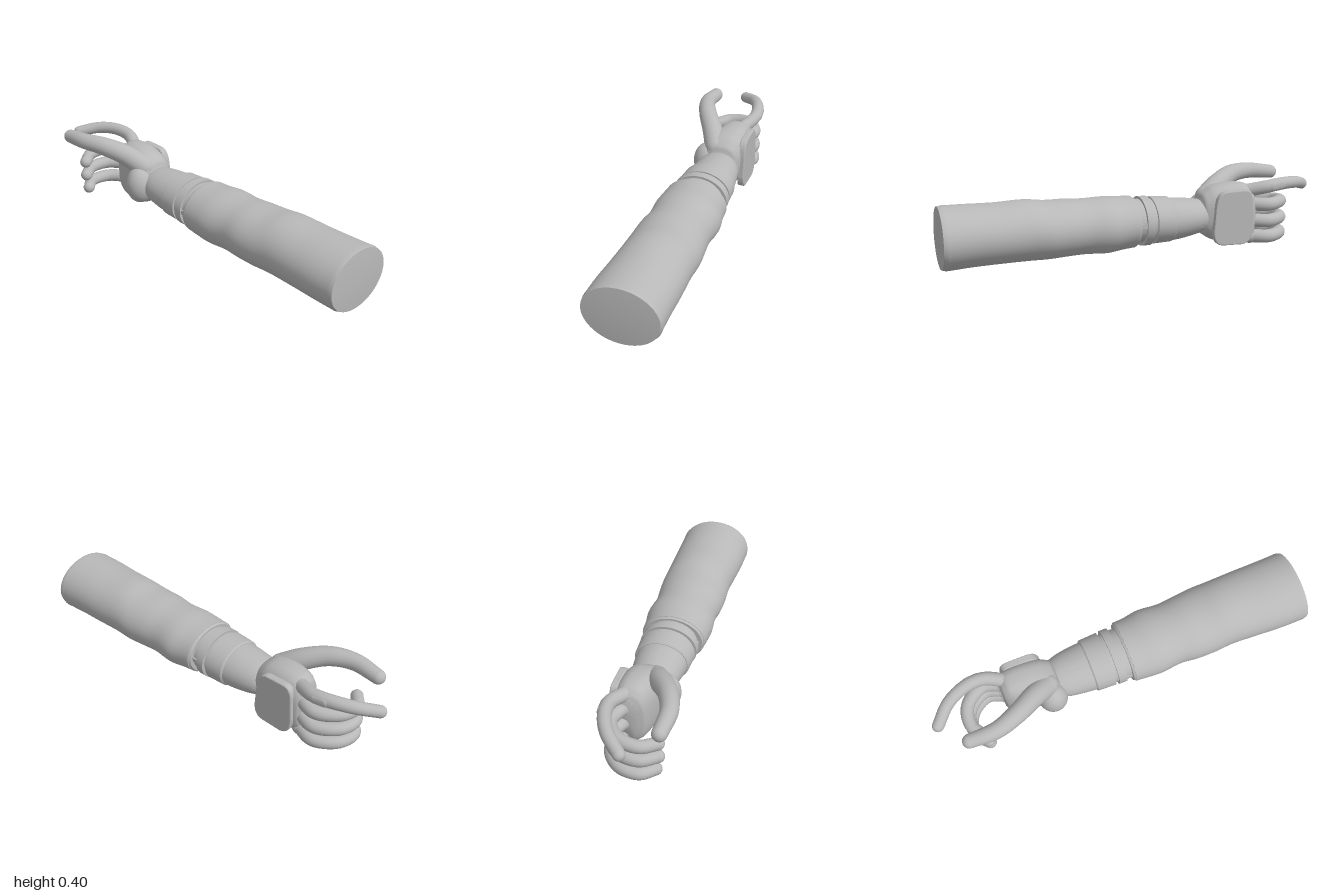
import * as THREE from 'three';
import { toCreasedNormals } from 'three/addons/utils/BufferGeometryUtils.js';

const V = (x, y, z) => new THREE.Vector3(x, y, z);

// Closed skin through sections [z, xMin, xMax, yMin, yMax], listed from +z to -z.
// power > 2 squares the section off; steps > 1 smooths between sections.
function loft(sections, { steps = 1, power = 2, dome = 0, crease = 0.6 } = {}) {
  const sides = 56, rings = [], n = sections.length;
  const at = (i) => sections[Math.max(0, Math.min(n - 1, i))];
  for (let i = 0; i < n - 1; i++) {
    for (let s = 0; s < steps; s++) {
      const t = s / steps;
      rings.push(at(i).map((b, k) => {
        const a = at(i - 1)[k], c = at(i + 1)[k], d = at(i + 2)[k];
        if (k === 0) return b + (c - b) * t;
        return 0.5 * (2 * b + (c - a) * t + (2 * a - 5 * b + 4 * c - d) * t * t + (3 * b - a - 3 * c + d) * t * t * t);
      }));
    }
  }
  rings.push(at(n - 1));
  const pos = [], idx = [];
  const bend = (v) => Math.sign(v) * Math.abs(v) ** (2 / power);
  for (const [z, x0, x1, y0, y1] of rings) {
    for (let j = 0; j < sides; j++) {
      const a = (j / sides) * Math.PI * 2;
      pos.push((x0 + x1) / 2 + bend(Math.cos(a)) * (x1 - x0) / 2, (y0 + y1) / 2 + bend(Math.sin(a)) * (y1 - y0) / 2, z);
    }
  }
  const first = rings[0], last = rings[rings.length - 1], c0 = pos.length / 3;
  pos.push((first[1] + first[2]) / 2, (first[3] + first[4]) / 2, first[0] + dome);
  pos.push((last[1] + last[2]) / 2, (last[3] + last[4]) / 2, last[0]);
  const end = (rings.length - 1) * sides;
  for (let j = 0; j < sides; j++) {
    const k = (j + 1) % sides;
    for (let i = 0; i < rings.length - 1; i++) {
      const a = i * sides + j, b = i * sides + k;
      idx.push(a, a + sides, b, b, a + sides, b + sides);
    }
    idx.push(c0, j, k, c0 + 1, end + k, end + j);
  }
  const g = new THREE.BufferGeometry();
  g.setAttribute('position', new THREE.Float32BufferAttribute(pos, 3));
  g.setIndex(idx);
  return toCreasedNormals(g, crease);
}

export function createModel() {
  const model = new THREE.Group();
  model.name = 'forearmAndHand';
  const grey = new THREE.MeshStandardMaterial({ color: 0xb8b8b8 });
  grey.name = 'grey';
  const add = (name, geometry, parent = model) => {
    const m = new THREE.Mesh(geometry, grey);
    m.name = name;
    parent.add(m);
    return m;
  };

  // Gently wavy sleeve
  add('sleeve', loft([
    [0.965, -0.17, 0.21, 0.003, 0.311], [0.85, -0.17, 0.207, 0.01, 0.31],
    [0.72, -0.163, 0.206, 0.015, 0.309], [0.57, -0.155, 0.201, 0.017, 0.315],
    [0.47, -0.159, 0.203, 0.017, 0.304], [0.37, -0.158, 0.194, 0.021, 0.303],
    [0.28, -0.148, 0.186, 0.024, 0.299], [0.17, -0.157, 0.196, 0.02, 0.302],
    [0.09, -0.153, 0.184, 0.029, 0.297], [0.03, -0.148, 0.18, 0.035, 0.296],
  ], { steps: 5 }));
  add('sleeveEndCap', loft([
    [0.987, -0.166, 0.206, 0.009, 0.307], [0.965, -0.171, 0.212, 0.002, 0.312],
    [0.95, -0.169, 0.209, 0.005, 0.309],
  ], { dome: 0.013, crease: 0.5 }));
  add('sleeveLip', loft([
    [0.035, -0.148, 0.18, 0.035, 0.296], [0.018, -0.14, 0.17, 0.042, 0.288],
  ]));

  // Wrist core, raised bands and tapering wrist
  add('wristCore', loft([
    [0.04, -0.116, 0.148, 0.055, 0.278], [-0.1, -0.116, 0.148, 0.055, 0.278],
  ]));
  add('narrowBand', loft([
    [-0.015, -0.13, 0.165, 0.04, 0.29], [-0.056, -0.13, 0.165, 0.04, 0.29],
  ]));
  add('wideBand', loft([
    [-0.074, -0.127, 0.162, 0.046, 0.285], [-0.168, -0.122, 0.158, 0.05, 0.281],
    [-0.175, -0.115, 0.152, 0.055, 0.275],
  ]));
  add('taperedWrist', loft([
    [-0.16, -0.113, 0.149, 0.053, 0.273], [-0.23, -0.107, 0.144, 0.06, 0.269],
    [-0.3, -0.098, 0.134, 0.073, 0.262], [-0.345, -0.086, 0.12, 0.084, 0.255],
    [-0.38, -0.07, 0.1, 0.1, 0.24],
  ], { steps: 3 }));
  for (const x of [-0.117, 0.149]) {
    const pin = add('wristPin', new THREE.BoxGeometry(0.012, 0.022, 0.06));
    pin.position.set(x, 0.166, 0);
  }

  // Palm with the heel pad and the plate on the back of the hand
  add('palm', loft([
    [-0.338, -0.05, 0.085, 0.1, 0.25], [-0.352, -0.07, 0.105, 0.075, 0.285],
    [-0.4, -0.085, 0.125, 0.045, 0.318], [-0.47, -0.075, 0.134, 0.026, 0.335],
    [-0.54, -0.06, 0.135, 0.018, 0.338], [-0.59, -0.045, 0.129, 0.022, 0.33],
    [-0.618, -0.03, 0.12, 0.036, 0.305], [-0.63, -0.005, 0.105, 0.06, 0.28],
  ], { steps: 4, power: 2.7, crease: 0.9 }));
  const heel = add('heelPad', new THREE.SphereGeometry(1, 28, 18));
  heel.scale.set(0.075, 0.1, 0.075);
  heel.position.set(-0.068, 0.17, -0.395);

  const plate = new THREE.Shape();
  plate.moveTo(0.385, 0.1);
  plate.bezierCurveTo(0.39, 0.04, 0.41, 0.036, 0.45, 0.035);
  plate.lineTo(0.54, 0.033);
  plate.bezierCurveTo(0.585, 0.04, 0.597, 0.08, 0.598, 0.13);
  plate.lineTo(0.59, 0.25);
  plate.bezierCurveTo(0.585, 0.3, 0.57, 0.306, 0.54, 0.306);
  plate.lineTo(0.45, 0.303);
  plate.bezierCurveTo(0.41, 0.3, 0.4, 0.26, 0.395, 0.22);
  const plateMesh = add('handBackPlate', new THREE.ExtrudeGeometry(plate, {
    depth: 0.025, bevelSize: 0.006, bevelThickness: 0.006, bevelSegments: 2, curveSegments: 10,
  }));
  plateMesh.rotation.y = Math.PI / 2;
  plateMesh.position.x = 0.112;

  // Round-ended digit along a path; radius runs from r0 to r1
  function digit(name, points, r0, r1) {
    const group = new THREE.Group();
    group.name = name;
    model.add(group);
    const curve = new THREE.CatmullRomCurve3(points, false, 'centripetal');
    const len = 36, sides = 18, p = V(), q = V();
    const g = new THREE.TubeGeometry(curve, len, 1, sides, false);
    const pos = g.attributes.position;
    for (let i = 0; i < pos.count; i++) {
      const t = Math.floor(i / (sides + 1)) / len;
      curve.getPointAt(t, p);
      q.fromBufferAttribute(pos, i).sub(p).multiplyScalar(r0 + (r1 - r0) * t).add(p);
      pos.setXYZ(i, q.x, q.y, q.z);
    }
    add(name + 'Body', g, group);
    [[points[0], r0], [points[points.length - 1], r1]].forEach(([c, r], i) => {
      add(name + (i ? 'Tip' : 'Root'), new THREE.SphereGeometry(r, sides, 14), group).position.copy(c);
    });
    return group;
  }

  // Slim pad on the outer face of a digit segment
  function pad(group, a, b, r) {
    const dir = b.clone().sub(a), length = dir.length();
    dir.normalize();
    const out = V(-dir.z, 0, dir.x).normalize();
    const m = add('fingerPad', new THREE.CapsuleGeometry(0.021, length * 0.55, 6, 14), group);
    m.quaternion.setFromRotationMatrix(new THREE.Matrix4().makeBasis(out, dir, out.clone().cross(dir)));
    m.scale.x = 0.4;
    m.position.copy(a).add(b).multiplyScalar(0.5).addScaledVector(out, r - 0.003);
  }

  // Three curled fingers, each with a knuckle
  [['middleFinger', 0.22, 0.2], ['ringFinger', 0.133, 0.122], ['littleFinger', 0.05, 0.041]].forEach(([name, y, tipY], i) => {
    const tipX = i === 2 ? -0.13 : -0.142;
    const a = V(0.102, y, -0.705), b = V(0.035, y, -0.805);
    const finger = digit(name, [
      V(0.07, y + 0.004, -0.6), a, b, V(-0.065, (y + tipY) / 2, -0.823), V(tipX, tipY, -0.77),
    ], 0.036, 0.031);
    pad(finger, a, b, 0.034);
    const knuckle = add('knuckle', new THREE.SphereGeometry(0.04, 18, 14), finger);
    knuckle.position.set(0.075, y + 0.004, -0.612);
  });

  // Reaching index finger and thumb
  const a = V(0.105, 0.315, -0.69), b = V(0.096, 0.325, -0.785);
  const index = digit('indexFinger', [
    V(0.07, 0.295, -0.6), a, b, V(0.05, 0.318, -0.885), V(-0.03, 0.292, -0.968),
  ], 0.035, 0.03);
  pad(index, a, b, 0.033);
  digit('thumb', [
    V(-0.025, 0.255, -0.405), V(-0.075, 0.31, -0.49), V(-0.14, 0.348, -0.6),
    V(-0.178, 0.353, -0.715), V(-0.174, 0.34, -0.85),
  ], 0.06, 0.036);

  return model;
}
